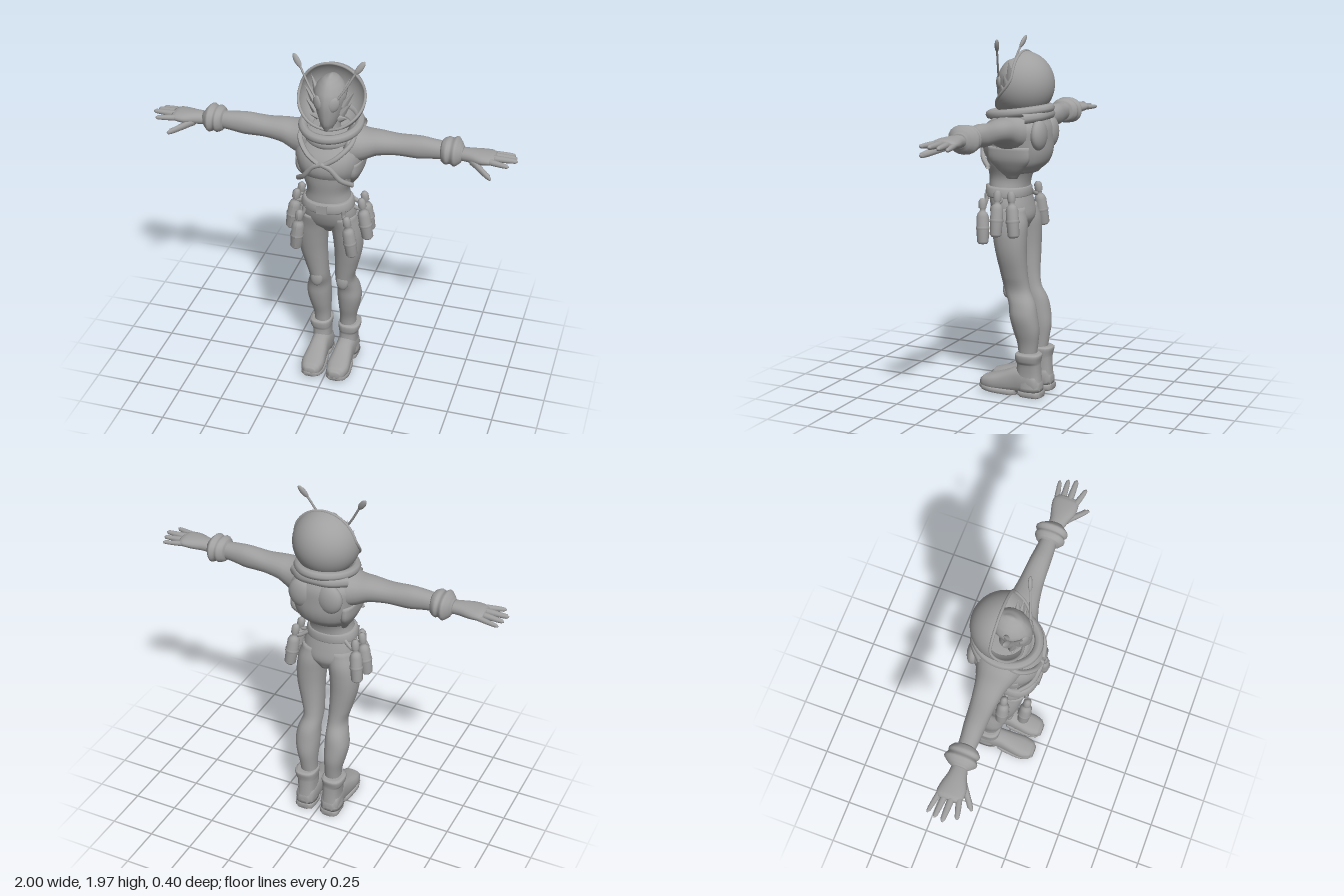
import * as THREE from 'three';

const grey = new THREE.MeshStandardMaterial({ color: 0xa0a0a0, side: THREE.DoubleSide });
grey.name = 'suit grey';

// Smooth closed body through rounded sections [t, a, b, ra, rb] along an axis.
// Axis x: a = z, b = y.  Axis y: a = x, b = z.  Axis z: a = y, b = x.
function loft(axis, secs, { n = 20, p = 2.2, sub = 4 } = {}) {
  const at = (i) => secs[Math.max(0, Math.min(secs.length - 1, i))];
  const rings = [];
  for (let i = 0; i < secs.length - 1; i++) {
    for (let s = 0; s < sub; s++) rings.push(blend(i, s / sub));
  }
  rings.push(secs[secs.length - 1]);
  function blend(i, u) {
    return at(i).map((v1, k) => {
      const v0 = at(i - 1)[k], v2 = at(i + 1)[k], v3 = at(i + 2)[k];
      if (k === 0) return v1 + (v2 - v1) * u;
      const m1 = (v2 - v0) / 2, m2 = (v3 - v1) / 2, d = v2 - v1;
      return v1 + u * (m1 + u * (3 * d - 2 * m1 - m2 + u * (m1 + m2 - 2 * d)));
    });
  }
  const pos = [], idx = [];
  const put = (t, a, b) => pos.push(...(axis === 'x' ? [t, b, a] : axis === 'y' ? [a, t, b] : [b, a, t]));
  const pw = (c) => Math.sign(c) * Math.pow(Math.abs(c), 2 / p);
  for (const [t, a, b, ra, rb] of rings) {
    for (let j = 0; j < n; j++) {
      const w = (j / n) * Math.PI * 2;
      put(t, a + pw(Math.cos(w)) * ra, b + pw(Math.sin(w)) * rb);
    }
  }
  for (let i = 0; i < rings.length - 1; i++) {
    for (let j = 0; j < n; j++) {
      const q = i * n + j, r = i * n + (j + 1) % n;
      idx.push(q, q + n, r, r, q + n, r + n);
    }
  }
  const first = rings[0], last = rings[rings.length - 1], top = (rings.length - 1) * n, c = rings.length * n;
  put(...first.slice(0, 3));
  put(...last.slice(0, 3));
  for (let j = 0; j < n; j++) {
    const k = (j + 1) % n;
    idx.push(c, j, k, c + 1, top + k, top + j);
  }
  const g = new THREE.BufferGeometry();
  g.setAttribute('position', new THREE.Float32BufferAttribute(pos, 3));
  g.setIndex(idx);
  g.computeVertexNormals();
  return g;
}

const tube = (pts, r, closed = false, seg = 32) => new THREE.TubeGeometry(
  new THREE.CatmullRomCurve3(pts.map((q) => new THREE.Vector3(...q)), closed), seg, r, 8, closed);

// Point a geometry's +y axis from one place toward another
function aim(g, from, to) {
  const a = new THREE.Vector3(...from), d = new THREE.Vector3(...to).sub(a).normalize();
  return g.applyQuaternion(new THREE.Quaternion().setFromUnitVectors(new THREE.Vector3(0, 1, 0), d)).translate(...from);
}

function mirrored(geo) {
  const g = geo.clone().scale(-1, 1, 1), ix = g.index.array;
  for (let i = 0; i < ix.length; i += 3) [ix[i + 1], ix[i + 2]] = [ix[i + 2], ix[i + 1]];
  g.computeVertexNormals();
  return g;
}

export function createModel() {
  const model = new THREE.Group();
  model.name = 'spaceSuitFigure';
  const add = (name, geo) => {
    const m = new THREE.Mesh(geo, grey);
    m.name = name;
    model.add(m);
  };
  const pair = (name, geo) => {
    add(name + 'Left', geo);
    add(name + 'Right', mirrored(geo));
  };

  // Torso, short jacket and neck
  add('torso', loft('y', [
    [0.94, 0, 0.0, 0.04, 0.06], [1.0, 0, 0.015, 0.135, 0.1], [1.07, 0, 0.035, 0.15, 0.11],
    [1.15, 0, 0.05, 0.128, 0.108], [1.22, 0, 0.045, 0.115, 0.115], [1.3, 0, 0.03, 0.145, 0.14],
    [1.4, 0, 0, 0.17, 0.17], [1.52, 0, -0.02, 0.14, 0.14]], { n: 28 }));
  add('jacket', loft('y', [
    [1.25, 0, -0.01, 0.125, 0.1], [1.3, 0, -0.005, 0.158, 0.16], [1.36, 0, 0, 0.178, 0.188],
    [1.43, 0, -0.005, 0.19, 0.185], [1.5, 0, -0.025, 0.185, 0.16], [1.56, 0, -0.03, 0.13, 0.13]], { n: 28 }));
  pair('sideHem', loft('y', [
    [1.22, 0.105, -0.01, 0.015, 0.03], [1.27, 0.125, -0.01, 0.028, 0.075], [1.33, 0.145, -0.01, 0.035, 0.12], [1.4, 0.15, -0.01, 0.035, 0.12]]));
  pair('lapel', tube([[0.15, 1.28, 0.11], [0.1, 1.33, 0.165], [0.045, 1.4, 0.183], [0, 1.42, 0.185]], 0.014));
  pair('chestStrap', tube([[0.02, 1.42, 0.18], [0.08, 1.46, 0.165], [0.14, 1.52, 0.1], [0.14, 1.56, 0.02]], 0.014));
  pair('shoulderBlade', new THREE.SphereGeometry(1, 20, 12).scale(0.075, 0.085, 0.04).translate(0.08, 1.46, -0.155));
  add('backRoll', tube([[-0.15, 1.55, -0.09], [-0.08, 1.56, -0.15], [0, 1.565, -0.165], [0.08, 1.56, -0.15], [0.15, 1.55, -0.09]], 0.03));
  add('neck', loft('y', [[1.46, 0, 0, 0.1, 0.1], [1.54, 0, 0.01, 0.06, 0.065], [1.64, 0, 0.01, 0.05, 0.055]]));

  // Belt and buckle
  add('belt', loft('y', [[1.11, 0, 0.053, 0.138, 0.114], [1.12, 0, 0.055, 0.146, 0.122],
    [1.16, 0, 0.055, 0.138, 0.12], [1.17, 0, 0.055, 0.125, 0.11]], { n: 28, sub: 2 }));
  add('buckle', new THREE.BoxGeometry(0.06, 0.05, 0.02).translate(0, 1.14, 0.172));

  // Collar rings that slope down to the front
  const ring = (y, rx, rz, drop, r) => tube(Array.from({ length: 16 }, (_, i) => {
    const w = (i / 16) * Math.PI * 2;
    return [Math.cos(w) * rx, y - Math.sin(w) * drop, Math.sin(w) * rz - 0.01];
  }), r, true, 48);
  add('collar', ring(1.575, 0.15, 0.165, 0.022, 0.025));
  add('lowerCollar', ring(1.535, 0.125, 0.135, 0.025, 0.028));

  // Helmet shell, open to the front, with a rim along its edge
  const R = 0.18, cy = 1.72, cz = -0.018, end = 2.55;
  const shellPoint = (u, th) => {
    const r = R * Math.sin(th), y = R * Math.cos(th);
    const edge = -0.02 + 0.13 * THREE.MathUtils.smoothstep(-y, -0.06, 0.14);
    const half = Math.acos(THREE.MathUtils.clamp(-edge / Math.max(r, 1e-4), -1, 1));
    const w = (u - 0.5) * 2 * half;
    return [-r * Math.sin(w), cy + y, cz - r * Math.cos(w)];
  };
  const shell = new THREE.SphereGeometry(R, 40, 28, 0, Math.PI, 0, end);
  const uv = shell.attributes.uv, sp = shell.attributes.position;
  for (let i = 0; i < sp.count; i++) sp.setXYZ(i, ...shellPoint(1 - uv.getX(i), (1 - uv.getY(i)) * end));
  for (let i = 0; i < shell.index.count; i += 3) {
    const a = shell.index.array;
    [a[i + 1], a[i + 2]] = [a[i + 2], a[i + 1]];
  }
  // Keep the winding facing outward at the back of the shell
  const back = new THREE.Vector3(), k = shell.index.array, mid = Math.floor(k.length / 6) * 3;
  const [A, B, C] = [0, 1, 2].map((o) => new THREE.Vector3().fromBufferAttribute(sp, k[mid + o]));
  back.crossVectors(B.clone().sub(A), C.clone().sub(A));
  if (back.dot(A.sub(new THREE.Vector3(0, cy, cz))) < 0) {
    for (let i = 0; i < k.length; i += 3) [k[i + 1], k[i + 2]] = [k[i + 2], k[i + 1]];
  }
  shell.computeVertexNormals();
  add('helmet', shell);
  const rim = [];
  for (let i = 0; i <= 12; i++) rim.push(shellPoint(0, 0.13 + (i / 12) * (end - 0.13)));
  const rimAll = [...rim.slice().reverse(), ...rim.map(([x, y, z]) => [-x, y, z])];
  add('helmetRim', tube(rimAll, 0.008, false, 64));

  // Pointed masked head, crest, side tufts and antennae
  add('head', loft('y', [
    [1.57, 0, 0.06, 0.025, 0.035], [1.61, 0, 0.045, 0.045, 0.07], [1.66, 0, 0.03, 0.066, 0.093],
    [1.72, 0, 0.02, 0.08, 0.105], [1.77, 0, 0.01, 0.087, 0.105], [1.81, 0, 0.005, 0.07, 0.09],
    [1.84, 0, 0.005, 0.042, 0.065], [1.86, 0, 0.005, 0.008, 0.02]], { n: 16, p: 1.8 }));
  pair('eye', new THREE.SphereGeometry(1, 14, 10).scale(0.032, 0.042, 0.014).rotateZ(-0.35).rotateY(0.55).translate(0.043, 1.73, 0.097));
  const tufts = [[[0.07, 1.66, 0.04], [0.125, 1.73, 0.05]], [[0.075, 1.7, 0.03], [0.135, 1.79, 0.03]],
    [[0.065, 1.75, 0.02], [0.105, 1.85, 0.01]], [[0.06, 1.63, 0.04], [0.105, 1.64, 0.055]]];
  for (const [a, b] of tufts) {
    const len = new THREE.Vector3(...a).distanceTo(new THREE.Vector3(...b));
    pair('tuft', aim(new THREE.ConeGeometry(0.024, len, 6).translate(0, len / 2, 0), a, b));
  }
  pair('antennaStem', tube([[0.06, 1.76, 0.09], [0.1, 1.82, 0.075], [0.145, 1.9, 0.058], [0.165, 1.93, 0.05]], 0.006));
  pair('antennaTip', aim(new THREE.SphereGeometry(1, 12, 10).scale(0.017, 0.042, 0.011), [0.168, 1.934, 0.048], [0.2, 1.98, 0.035]));

  // Arms, gathered cuffs and hands
  pair('arm', loft('x', [
    [0.1, -0.01, 1.47, 0.13, 0.1], [0.19, -0.01, 1.475, 0.1, 0.082], [0.26, -0.01, 1.492, 0.08, 0.065],
    [0.36, -0.01, 1.497, 0.065, 0.055], [0.48, -0.008, 1.5, 0.057, 0.061], [0.56, -0.005, 1.503, 0.05, 0.052],
    [0.63, -0.005, 1.503, 0.045, 0.046]]));
  pair('cuff', loft('x', [
    [0.595, -0.005, 1.505, 0.04, 0.045], [0.605, -0.005, 1.505, 0.065, 0.06], [0.63, -0.005, 1.505, 0.083, 0.07],
    [0.65, -0.008, 1.505, 0.076, 0.065], [0.675, -0.008, 1.505, 0.088, 0.075], [0.7, -0.005, 1.503, 0.062, 0.055],
    [0.715, 0, 1.503, 0.04, 0.035]]));
  pair('palm', loft('x', [
    [0.69, 0, 1.5, 0.04, 0.032], [0.75, 0.005, 1.502, 0.05, 0.034], [0.81, 0.008, 1.503, 0.068, 0.032],
    [0.86, 0.005, 1.505, 0.07, 0.026], [0.885, 0.005, 1.505, 0.055, 0.018]]));
  const finger = (x0, z0, y0, x1, z1, y1, r) => loft('x', [0, 0.06, 0.5, 0.92, 1].map((u, i) => [
    x0 + (x1 - x0) * u, z0 + (z1 - z0) * u, y0 + (y1 - y0) * u,
    r * [0.8, 1.05, 1, 0.75, 0.25][i], r * [0.8, 1.05, 0.95, 0.7, 0.25][i]]), { n: 10 });
  pair('littleFinger', finger(0.84, -0.045, 1.502, 0.975, -0.068, 1.495, 0.014));
  pair('ringFinger', finger(0.84, -0.015, 1.507, 0.99, -0.026, 1.502, 0.016));
  pair('middleFinger', finger(0.84, 0.02, 1.508, 1.0, 0.018, 1.508, 0.017));
  pair('indexFinger', finger(0.83, 0.05, 1.505, 0.965, 0.082, 1.505, 0.016));
  pair('thumb', finger(0.75, 0.03, 1.49, 0.885, 0.125, 1.445, 0.021));

  // Legs
  pair('leg', loft('y', [
    [0.22, 0.075, -0.09, 0.046, 0.05], [0.3, 0.078, -0.092, 0.048, 0.058], [0.38, 0.085, -0.085, 0.06, 0.074],
    [0.46, 0.09, -0.072, 0.068, 0.078], [0.53, 0.085, -0.06, 0.062, 0.075], [0.6, 0.075, -0.028, 0.053, 0.074],
    [0.68, 0.085, -0.015, 0.062, 0.075], [0.8, 0.1, -0.003, 0.076, 0.084], [0.9, 0.1, 0.005, 0.083, 0.094],
    [0.98, 0.09, 0.012, 0.083, 0.1], [1.06, 0.075, 0.03, 0.075, 0.1]]));
  pair('kneePad', new THREE.SphereGeometry(1, 16, 12).scale(0.035, 0.05, 0.02).translate(0.075, 0.6, 0.034));

  // Boots
  pair('bootShaft', loft('y', [
    [0.04, 0.08, -0.11, 0.06, 0.068], [0.12, 0.078, -0.1, 0.052, 0.07], [0.19, 0.08, -0.1, 0.054, 0.066],
    [0.21, 0.084, -0.098, 0.061, 0.07], [0.245, 0.085, -0.1, 0.064, 0.074], [0.255, 0.083, -0.1, 0.052, 0.06]], { p: 2.6 }));
  pair('bootFoot', loft('z', [
    [-0.175, 0.06, 0.078, 0.03, 0.03], [-0.15, 0.075, 0.078, 0.062, 0.054], [-0.08, 0.09, 0.076, 0.075, 0.056],
    [-0.02, 0.088, 0.075, 0.072, 0.054], [0.05, 0.074, 0.075, 0.058, 0.06], [0.12, 0.063, 0.075, 0.046, 0.065],
    [0.17, 0.058, 0.074, 0.036, 0.052], [0.19, 0.055, 0.073, 0.02, 0.03]], { p: 2.6 }));
  pair('toeSole', loft('z', [[-0.03, 0.022, 0.075, 0.016, 0.05], [0.0, 0.02, 0.075, 0.018, 0.058],
    [0.11, 0.026, 0.075, 0.018, 0.068], [0.165, 0.032, 0.074, 0.018, 0.056], [0.19, 0.036, 0.073, 0.014, 0.035]], { p: 4 }));
  pair('heel', loft('z', [[-0.18, 0.024, 0.078, 0.018, 0.035], [-0.16, 0.021, 0.078, 0.02, 0.055],
    [-0.07, 0.021, 0.076, 0.02, 0.056], [-0.05, 0.025, 0.076, 0.015, 0.05]], { p: 4 }));

  // Capped canisters hanging from the belt
  const profile = [[0, 0], [0.022, 0.003], [0.032, 0.015], [0.034, 0.08], [0.038, 0.084], [0.038, 0.096], [0.034, 0.1],
    [0.034, 0.15], [0.026, 0.172], [0.016, 0.18], [0.015, 0.195], [0.022, 0.2], [0.022, 0.235], [0.012, 0.25], [0, 0.252]];
  const spots = [[0.16, 0.855, 0.14, 0.13, 1.1, 0.155], [0.22, 0.915, 0.035, 0.178, 1.17, 0.04], [0.205, 0.915, -0.065, 0.175, 1.17, -0.035]];
  for (const [x, y, z, tx, ty, tz] of spots) {
    const can = new THREE.LatheGeometry(profile.map((q) => new THREE.Vector2(...q)), 18);
    pair('canister', aim(can, [x, y, z], [tx, ty, tz]));
    pair('canisterStrap', tube([[tx + 0.012, ty - 0.07, tz], [tx - 0.02, 1.1, tz * 0.9], [0.11, 1.13, tz * 0.85 + 0.01]], 0.012, false, 10));
  }
  return model;
}
